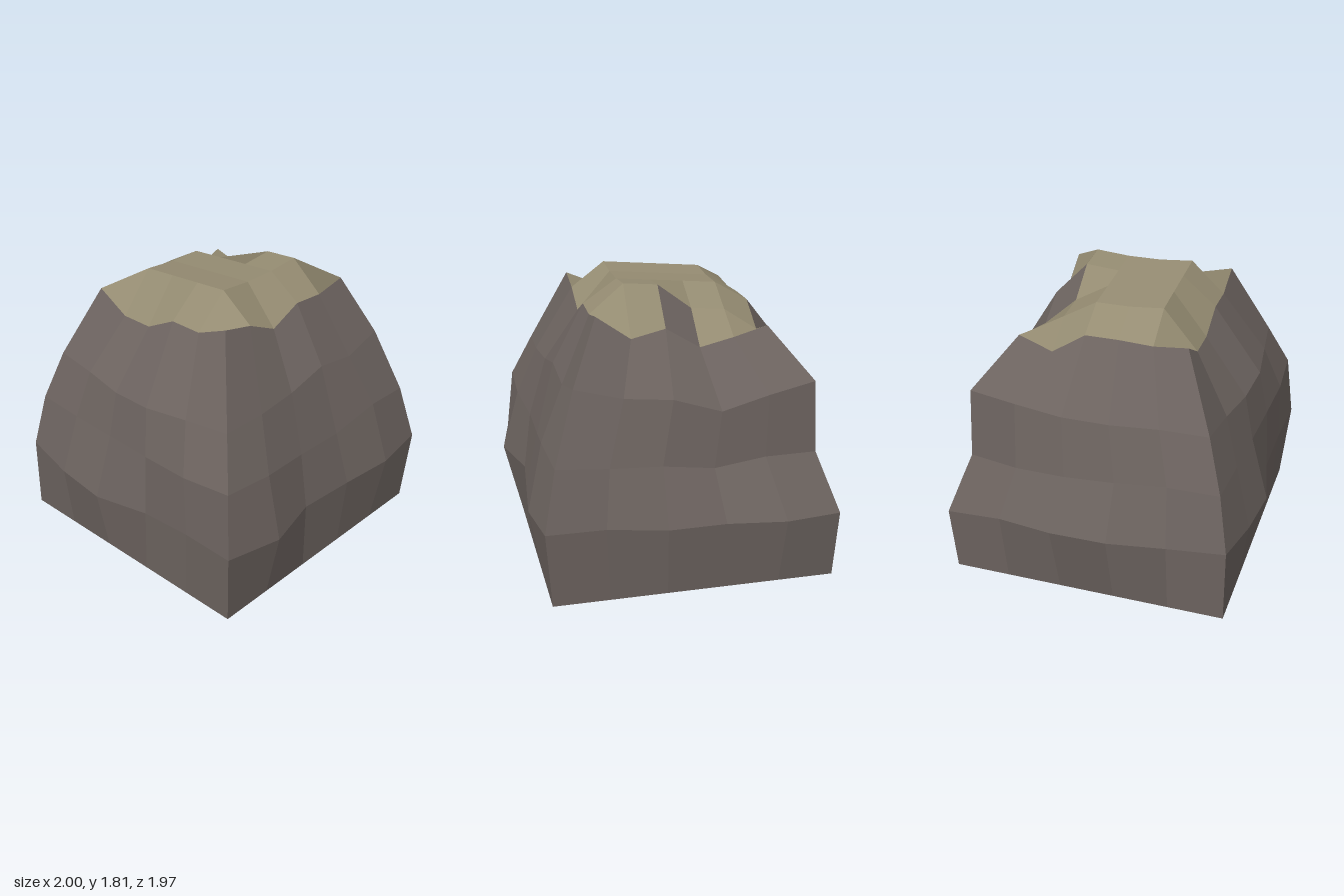
import * as THREE from 'three';

const N = 5; // cells along each side
const COUNT = 4 * N;

const constant = (value) => Array(COUNT).fill(value);

// Outward distance and height of each uneven ring, walking front, +x side, back, -x side
const waistOut = [.885, .945, .98, .9, .91, .93, 1, .9, .935, .97, .92, .91, .945, .93, .985, .91, .93, 1, .99, .93];
const waistY = [.48, .445, .44, .45, .485, .5, .48, .47, .48, .48, .487, .48, .45, .445, .445, .43, .46, .48, .475, .475];
const bellyOut = [.82, .84, .86, .88, .9, .885, .89, .85, .85, .87, .84, .83, .82, .8, .79, .78, .84, .86, .86, .84];
const bellyY = [.84, .84, .85, .86, .88, .915, .88, .84, .83, .9, .86, .83, .81, .76, .8, .8, .8, .81, .83, .85];
const shoulderOut = [.72, .75, .8, .825, .79, .755, .76, .74, .73, .72, .7, .73, .76, .78, .78, .765, .79, .79, .79, .75];
const shoulderY = [1.165, 1.15, 1.14, 1.165, 1.19, 1.21, 1.21, 1.22, 1.28, 1.23, 1.29, 1.22, 1.2, 1.11, 1.19, 1.25, 1.22, 1.18, 1.18, 1.18];
const rimY = [1.62, 1.5, 1.5, 1.61, 1.61, 1.7, 1.65, 1.55, 1.645, 1.63, 1.67, 1.52, 1.57, 1.44, 1.49, 1.55, 1.47, 1.61, 1.61, 1.6];

// Ring points from their outward distance and height
function ring(out, y) {
  return out.map((d, i) => {
    const side = Math.floor(i / N);
    const a = out[side * N], b = out[((side + 1) % 4) * N];
    const along = -a + (a + b) * (i % N) / N;
    const [x, z] = [[along, d], [d, -along], [-along, -d], [-d, along]][side];
    return new THREE.Vector3(x, y[i], z);
  });
}

// Flat quads, each given as four corners counter-clockwise, one normal per quad
function quadMesh(name, quads, material) {
  const geometry = new THREE.BufferGeometry().setFromPoints(
    quads.flatMap(([a, b, c, d]) => [a, b, c, a, c, d]));
  const normals = quads.flatMap(([a, b, c, d]) => {
    const n = c.clone().sub(a).cross(d.clone().sub(b)).normalize();
    return Array(6).fill(n.toArray()).flat();
  });
  geometry.setAttribute('normal', new THREE.Float32BufferAttribute(normals, 3));
  const mesh = new THREE.Mesh(geometry, material);
  mesh.name = name;
  return mesh;
}

export function createModel() {
  const stone = new THREE.MeshStandardMaterial({ color: 0x6d6460, side: THREE.DoubleSide });
  stone.name = 'stone';
  const sand = new THREE.MeshStandardMaterial({ color: 0x958c72, side: THREE.DoubleSide });
  sand.name = 'sand';
  const group = new THREE.Group();
  group.name = 'rock';

  // Rings from the ground up to the rim
  const rim = ring(constant(0.53), rimY);
  const rings = [
    ring(constant(0.885), constant(0)),
    ring(waistOut, waistY),
    ring(bellyOut, bellyY),
    ring(shoulderOut, shoulderY),
    rim,
  ];

  // Walls, one mesh per side, open at the bottom
  ['frontWall', 'leftWall', 'backWall', 'rightWall'].forEach((name, side) => {
    const quads = [];
    for (let r = 0; r < rings.length - 1; r++) {
      for (let k = 0; k < N; k++) {
        const i = side * N + k, j = (i + 1) % COUNT;
        quads.push([rings[r][i], rings[r][j], rings[r + 1][j], rings[r + 1][i]]);
      }
    }
    group.add(quadMesh(name, quads, stone));
  });

  // Summit grid: rim round the edge, gently tilted inside with a dent at the back
  const top = (col, row) => {
    if (row === 0) return rim[col];
    if (col === N) return rim[N + row];
    if (row === N) return rim[3 * N - col];
    if (col === 0) return rim[COUNT - row];
    const x = -0.53 + 0.212 * col, z = 0.53 - 0.212 * row;
    const dent = row === N - 1 && x < 0 ? 0.14 : 0;
    return new THREE.Vector3(x, 1.76 + 0.09 * x + 0.2 * z * z - dent, z);
  };
  const sandQuads = [], bareQuads = [];
  for (let row = 0; row < N; row++) {
    for (let col = 0; col < N; col++) {
      const bare = row === N - 1 && col === 2;
      (bare ? bareQuads : sandQuads).push(
        [top(col, row), top(col + 1, row), top(col + 1, row + 1), top(col, row + 1)]);
    }
  }
  group.add(quadMesh('sandySummit', sandQuads, sand));
  group.add(quadMesh('bareSummitPatch', bareQuads, stone));
  return group;
}
